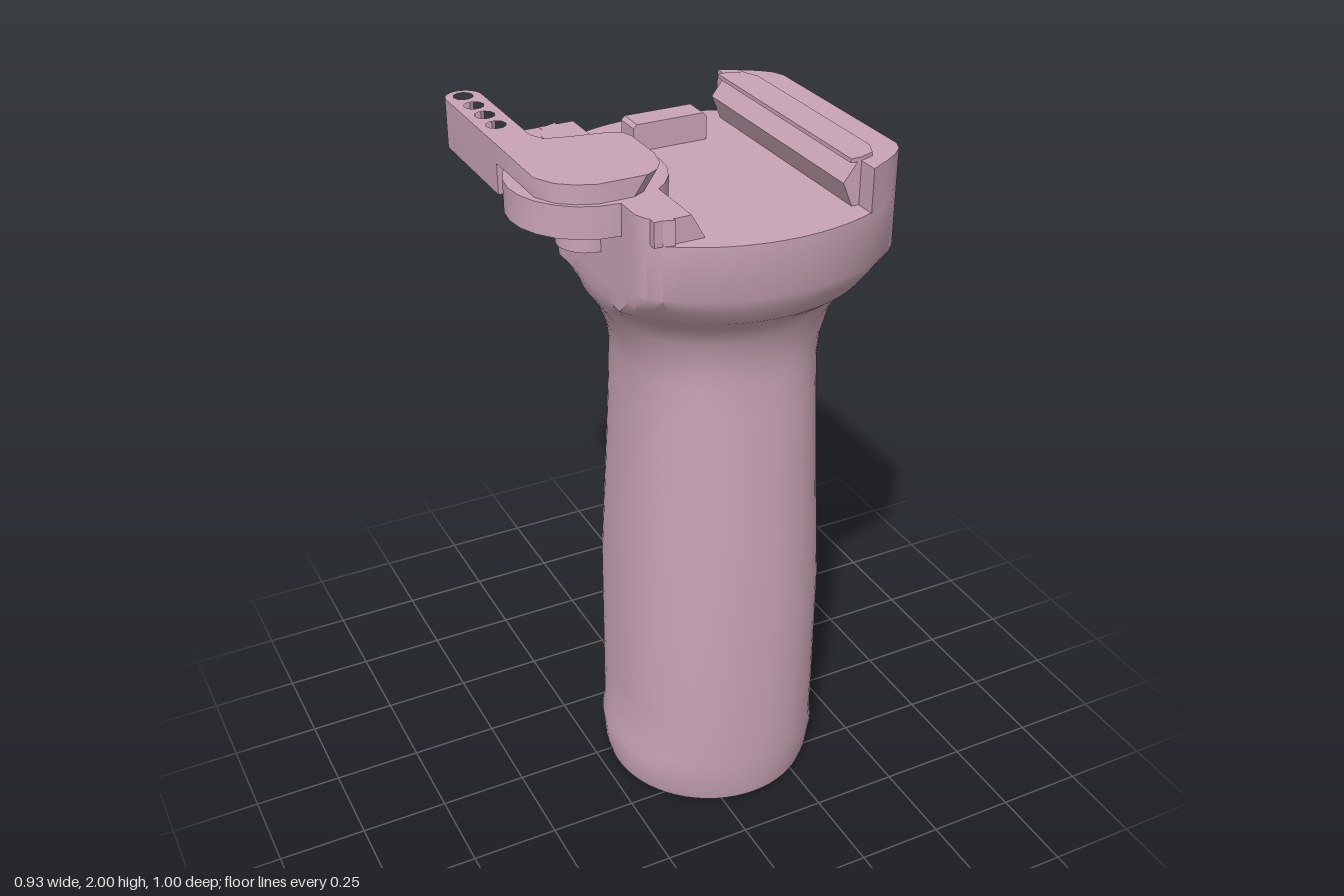
import * as THREE from 'three';
import { toCreasedNormals } from 'three/addons/utils/BufferGeometryUtils.js';

const CX = 0.1, CZ = 0.06; // axis of the grip

export function createModel() {
  const model = new THREE.Group();
  model.name = 'verticalGrip';
  const pink = new THREE.MeshStandardMaterial({ color: 0xc9a4b5 });
  pink.name = 'dusty pink';

  const add = (name, geo, crease = 0.5) => {
    const mesh = new THREE.Mesh(toCreasedNormals(geo, crease), pink);
    mesh.name = name;
    model.add(mesh);
    return mesh;
  };

  // Horizontal slab from an [x, z] outline, optional round holes [x, z, r]
  const slab = (pts, y0, y1, holes = []) => {
    const shape = new THREE.Shape(pts.map(([x, z]) => new THREE.Vector2(x, -z)));
    for (const [x, z, r] of holes) {
      const hole = new THREE.Path();
      hole.absarc(x, -z, r, 0, Math.PI * 2, true);
      shape.holes.push(hole);
    }
    const geo = new THREE.ExtrudeGeometry(shape, { depth: y1 - y0, bevelEnabled: false, curveSegments: 5 });
    return geo.rotateX(-Math.PI / 2).translate(0, y0, 0);
  };

  // Bar along z from an [x, y] profile
  const bar = (pts, z0, z1) => new THREE.ExtrudeGeometry(
    new THREE.Shape(pts.map(([x, y]) => new THREE.Vector2(x, y))),
    { depth: z1 - z0, bevelEnabled: false }).translate(0, 0, z0);

  // Oval cross-section, its sides trimmed flat and the corners chamfered
  const SEG = 64;
  const section = (a, b, n) => Array.from({ length: SEG }, (_, i) => {
    const t = (i / SEG) * Math.PI * 2, c = Math.cos(t), s = Math.sin(t);
    const z = b * Math.sign(s) * Math.abs(s) ** (2 / n);
    const x = a * Math.abs(c) ** (2 / n);
    return [CX + Math.sign(c) * Math.min(x, 0.36, 0.5025 - Math.abs(z) / 2), CZ + z];
  });

  // Handle and flared head: y, half width, half depth, squareness
  const rings = [
    [0, 0.305, 0.308, 2], [0.03, 0.312, 0.314, 2.05], [0.11, 0.316, 0.32, 2.15],
    [0.15, 0.303, 0.322, 2.25], [0.3, 0.298, 0.323, 2.35], [0.68, 0.295, 0.322, 2.4],
    [0.9, 0.284, 0.31, 2.4], [1.1, 0.274, 0.3, 2.4], [1.3, 0.266, 0.29, 2.4],
    [1.4, 0.267, 0.284, 2.35], [1.46, 0.278, 0.286, 2.3], [1.54, 0.31, 0.302, 2.2],
    [1.6, 0.352, 0.335, 2.1], [1.645, 0.41, 0.395, 2], [1.69, 0.46, 0.42, 2],
    [1.73, 0.5, 0.44, 2], [1.875, 0.5, 0.44, 2],
  ];
  const pos = [], idx = [];
  for (const [y, a, b, n] of rings) for (const [x, z] of section(a, b, n)) pos.push(x, y, z);
  for (let r = 0; r < rings.length - 1; r++) {
    for (let i = 0; i < SEG; i++) {
      const j = (i + 1) % SEG, p = r * SEG + i, q = r * SEG + j;
      idx.push(p, p + SEG, q, q, p + SEG, q + SEG);
    }
  }
  const bottom = pos.length / 3, top = bottom + 1, last = (rings.length - 1) * SEG;
  pos.push(CX, 0, CZ, CX, 1.875, CZ);
  for (let i = 0; i < SEG; i++) {
    const j = (i + 1) % SEG;
    idx.push(bottom, i, j, top, last + j, last + i);
  }
  const body = new THREE.BufferGeometry();
  body.setAttribute('position', new THREE.Float32BufferAttribute(pos, 3));
  body.setIndex(idx);
  add('handleAndHead', body, 0.6);

  // Side walls follow the head outline
  const wall = (side, inner, y) => {
    const arc = section(0.5, 0.44, 2).filter(([x]) => (x - inner) * side > 0);
    arc.sort((p, q) => p[1] - q[1]);
    const first = arc[0], end = arc[arc.length - 1];
    return slab([[inner, first[1] - 0.01], ...arc, [inner, end[1] + 0.01]], 1.874, y);
  };
  add('leftWall', wall(1, 0.32, 1.99));
  add('rightWall', wall(-1, -0.19, 1.94));

  // Undercut jaws of the rail clamp
  add('leftJaw', bar([[0.34, 1.874], [0.3, 1.874], [0.272, 1.94], [0.31, 1.99], [0.34, 1.99]], -0.28, 0.4));
  add('leftJawCap', slab([[0.29, -0.28], [0.32, -0.28], [0.36, -0.265], [0.38, -0.22],
    [0.38, 0.34], [0.36, 0.385], [0.32, 0.4], [0.29, 0.4]], 1.989, 2));
  add('rightJaw', bar([[-0.24, 1.874], [-0.105, 1.874], [-0.142, 1.94], [-0.24, 1.94]], -0.28, 0.4));
  add('rightJawBlock', slab([[-0.2, -0.28], [-0.28, -0.28], [-0.315, -0.26], [-0.33, -0.21],
    [-0.33, 0], [-0.2, 0]], 1.86, 1.939));

  // Recoil lug on the rail floor
  add('lug', bar([[-0.025, 1.874], [0.19, 1.874], [0.19, 1.94], [0.18, 1.95],
    [-0.015, 1.95], [-0.025, 1.94]], -0.23, -0.155));

  // Lever pivot, stacked discs
  const disc = (name, x, z, r, y0, y1) =>
    add(name, new THREE.CylinderGeometry(r, r, y1 - y0, 24).translate(x, (y0 + y1) / 2, z), 0.6);
  disc('pivotDisc', -0.26, 0.06, 0.205, 1.855, 1.94);
  disc('pivotCollar', -0.26, 0.06, 0.125, 1.825, 1.856);
  disc('pivotNut', -0.26, 0.06, 0.082, 1.763, 1.826);

  // Lever: cam plate with a sloping edge over the jaw
  const camOutline = [[-0.43, -0.12], [-0.33, -0.12], [-0.31, -0.08], [-0.25, -0.065],
    [-0.14, -0.045], [-0.115, -0.03], [-0.105, 0], [-0.105, 0.13], [-0.12, 0.19],
    [-0.145, 0.225], [-0.18, 0.245], [-0.31, 0.245], [-0.36, 0.225], [-0.4, 0.195], [-0.43, 0.14]];
  const cam = slab(camOutline, 1.938, 1.99);
  const cp = cam.attributes.position;
  for (let i = 0; i < cp.count; i++) {
    if (cp.getY(i) < 1.95 && cp.getX(i) > -0.2) cp.setX(i, cp.getX(i) - 0.037);
  }
  add('leverCam', cam);

  // Lever arm with rounded end and four holes
  const arm = [[-0.33, -0.1], [-0.43, -0.1]];
  for (let i = 0; i <= 12; i++) {
    const t = Math.PI * (1 - i / 12);
    arm.push([-0.38 + 0.05 * Math.cos(t), -0.45 - 0.05 * Math.sin(t)]);
  }
  add('leverArm', slab(arm, 1.855, 1.99, [-0.455, -0.377, -0.3, -0.222].map((z) => [-0.38, z, 0.027])));

  return model;
}
